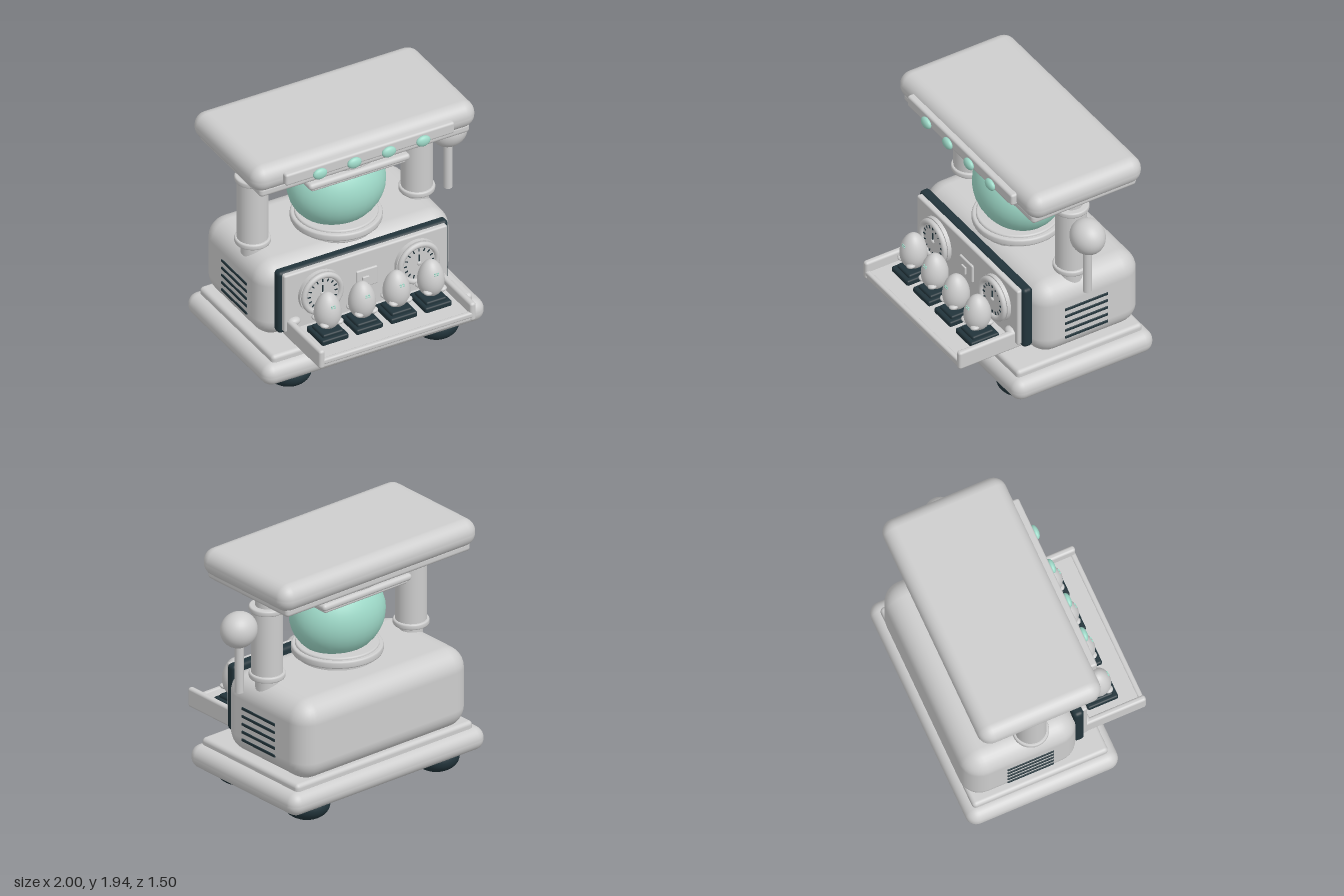
import * as THREE from 'three';
import { RoundedBoxGeometry } from 'three/addons/geometries/RoundedBoxGeometry.js';

export function createModel() {
  const model = new THREE.Group();
  const mat = (name, color) => Object.assign(new THREE.MeshStandardMaterial({ color }), { name });
  const grey = mat('light grey', 0xcdcdcd);
  const dark = mat('dark slate', 0x22343b);
  const mint = mat('mint', 0x9ed9c8);
  const CX = -0.073; // centre line of the machine
  const CZ = -0.157; // globe, pillar and lever line

  const add = (name, geo, material, x = 0, y = 0, z = 0, parent = model) => {
    const m = new THREE.Mesh(geo, material);
    m.name = name;
    m.position.set(x, y, z);
    parent.add(m);
    return m;
  };
  // Rounded block given by its limits
  const block = (name, material, [x0, x1], [y0, y1], [z0, z1], r, parent = model) => {
    const w = x1 - x0, h = y1 - y0, d = z1 - z0;
    const geo = new RoundedBoxGeometry(w, h, d, 4, Math.min(r, 0.49 * Math.min(w, h, d)));
    return add(name, geo, material, (x0 + x1) / 2, (y0 + y1) / 2, (z0 + z1) / 2, parent);
  };
  const ball = (name, material, x, y, z, rx, ry, rz, parent = model) => {
    const m = add(name, new THREE.SphereGeometry(1, 32, 20), material, x, y, z, parent);
    m.scale.set(rx, ry, rz);
    return m;
  };
  const rod = (name, material, x, y0, y1, z, r, sides = 32, parent = model) =>
    add(name, new THREE.CylinderGeometry(r, r, y1 - y0, sides), material, x, (y0 + y1) / 2, z, parent);
  // Turned disc with softened rims
  const disc = (name, material, x, y0, y1, z, r, b = 0.012) => {
    const pts = [[0, y0], [r - b, y0], [r - b * 0.3, y0 + b * 0.3], [r, y0 + b],
      [r, y1 - b], [r - b * 0.3, y1 - b * 0.3], [r - b, y1], [0, y1]];
    return add(name, new THREE.LatheGeometry(pts.map(p => new THREE.Vector2(...p)), 40), material, x, 0, z);
  };

  // Feet and stepped plinth
  for (const x of [-0.685, 0.537])
    for (const z of [0.213, -0.53]) ball('foot', dark, x, 0.115, z, 0.17, 0.115, 0.177);
  block('plinth', grey, [-0.99, 0.843], [0.14, 0.32], [-0.755, 0.437], 0.085);
  block('plinthStep', grey, [-0.905, 0.76], [0.29, 0.372], [-0.69, 0.375], 0.03);

  // Body with side vents
  block('body', grey, [-0.875, 0.73], [0.35, 0.975], [-0.72, 0.18], 0.16);
  for (const x of [-0.875, 0.73])
    for (let i = 0; i < 5; i++)
      block('vent', dark, [x - 0.007, x + 0.007], [0.486 + i * 0.0625, 0.508 + i * 0.0625], [-0.41, -0.045], 0.004);

  // Pillars with sleeves and rings
  for (const x of [-0.755, 0.605]) {
    rod('pillarCore', grey, x, 0.92, 1.71, -0.175, 0.087);
    rod('pillarSleeve', grey, x, 1.03, 1.56, -0.175, 0.116);
    disc('pillarRingLower', grey, x, 1.01, 1.055, -0.175, 0.133);
    disc('pillarRingUpper', grey, x, 1.54, 1.585, -0.175, 0.133);
  }

  // Globe, collar and hopper lid
  disc('globeCollar', grey, CX, 1.005, 1.065, CZ, 0.335, 0.015);
  disc('globeCollarLip', grey, CX, 1.05, 1.082, CZ, 0.305);
  disc('globeSocket', grey, CX, 0.96, 1.03, CZ, 0.29);
  ball('globe', mint, CX, 1.315, CZ, 0.373, 0.32, 0.316);
  block('hopperBoard', grey, [-0.49, 0.345], [1.555, 1.608], [-0.505, 0.195], 0.025);
  block('hopperBoardUnder', grey, [-0.465, 0.32], [1.53, 1.57], [-0.485, 0.175], 0.018);
  disc('hopperDisc', grey, CX, 1.6, 1.632, CZ, 0.325);
  disc('hopperCap', grey, CX, 1.625, 1.657, CZ, 0.335);

  // Canopy with fascia and buttons
  block('canopy', grey, [-1, 0.85], [1.728, 1.94], [-0.66, 0.302], 0.1);
  block('canopyUnderside', grey, [-0.945, 0.795], [1.69, 1.77], [-0.62, 0.27], 0.03);
  block('fascia', grey, [-0.775, 0.625], [1.78, 1.875], [0.27, 0.343], 0.018);
  const slots = [-0.5, -0.215, 0.07, 0.355];
  for (const x of slots) ball('button', mint, x, 1.81, 0.355, 0.057, 0.043, 0.027);

  // Side lever
  ball('leverKnob', grey, 0.857, 1.455, CZ, 0.143, 0.136, 0.127);
  rod('leverRod', grey, 0.853, 0.957, 1.4, CZ, 0.033, 12);

  // Front panel
  block('panelFrame', dark, [-0.778, 0.632], [0.445, 0.97], [0.16, 0.243], 0.03);
  block('panelFace', grey, [-0.75, 0.602], [0.47, 0.957], [0.22, 0.277], 0.015);
  block('indicatorPlate', grey, [-0.16, 0.015], [0.66, 0.81], [0.26, 0.292], 0.01);
  block('indicatorTab', grey, [-0.115, -0.06], [0.69, 0.755], [0.28, 0.305], 0.006);

  // Dials with ticks and needle
  for (const x of [-0.46, 0.337]) {
    const dial = new THREE.Group();
    dial.name = 'dial';
    dial.position.set(x, 0.745, 0.275);
    model.add(dial);
    add('dialBase', new THREE.CylinderGeometry(0.178, 0.178, 0.04, 40), grey, 0, 0, 0.012, dial).rotation.x = Math.PI / 2;
    add('dialRim', new THREE.TorusGeometry(0.152, 0.022, 10, 40), grey, 0, 0, 0.045, dial);
    add('dialFace', new THREE.CylinderGeometry(0.145, 0.145, 0.04, 40), grey, 0, 0, 0.027, dial).rotation.x = Math.PI / 2;
    for (let i = 0; i < 16; i++) {
      const a = i * Math.PI / 8;
      add('dialTick', new THREE.BoxGeometry(0.024, 0.008, 0.006), dark,
        0.112 * Math.cos(a), 0.112 * Math.sin(a), 0.049, dial).rotation.z = a;
    }
    add('dialNeedle', new THREE.BoxGeometry(0.01, 0.085, 0.006), dark, 0, 0.03, 0.05, dial);
    ball('dialHub', grey, 0, 0, 0.05, 0.018, 0.018, 0.012, dial);
  }

  // Tray with rails and hinges
  block('trayFloor', grey, [-0.705, 0.55], [0.415, 0.487], [0.18, 0.74], 0.02);
  block('trayLip', grey, [-0.705, 0.55], [0.45, 0.495], [0.71, 0.75], 0.015);
  for (const s of [-1, 1]) {
    const x = -0.08 + s * 0.625;
    block('trayRail', grey, [x - 0.024, x + 0.024], [0.42, 0.572], [0.2, 0.75], 0.02);
    ball('trayHinge', grey, -0.08 + s * 0.595, 0.555, 0.28, 0.05, 0.032, 0.04);
  }

  // Eggs on dark stands
  const profile = [];
  for (let i = 0; i <= 20; i++) {
    const t = -Math.PI / 2 + Math.PI * i / 20, s = Math.sin(t);
    profile.push(new THREE.Vector2(Math.max(0, 0.1 * Math.cos(t) * (1 - 0.14 * s)), 0.148 * s));
  }
  const eggGeo = new THREE.LatheGeometry(profile, 28);
  for (const x of slots) {
    const egg = new THREE.Group();
    egg.name = 'eggOnStand';
    egg.position.set(x, 0, 0.463);
    model.add(egg);
    block('standBase', dark, [-0.11, 0.11], [0.48, 0.528], [-0.12, 0.12], 0.015, egg);
    block('standTop', dark, [-0.085, 0.085], [0.51, 0.553], [-0.09, 0.09], 0.015, egg);
    add('egg', eggGeo, grey, 0, 0.698, 0, egg);
    for (const sx of [-1, 1]) {
      for (const sz of [-1, 1])
        ball('claw', grey, sx * 0.06, 0.618, sz * 0.06, 0.034, 0.02, 0.034, egg).rotation.z = sx * 0.2;
      for (const dy of [0, 0.012])
        add('eye', new THREE.BoxGeometry(0.014, 0.006, 0.008), mint, sx * 0.011, 0.76 + dy, 0.085 - dy * 0.3, egg);
    }
  }
  return model;
}
